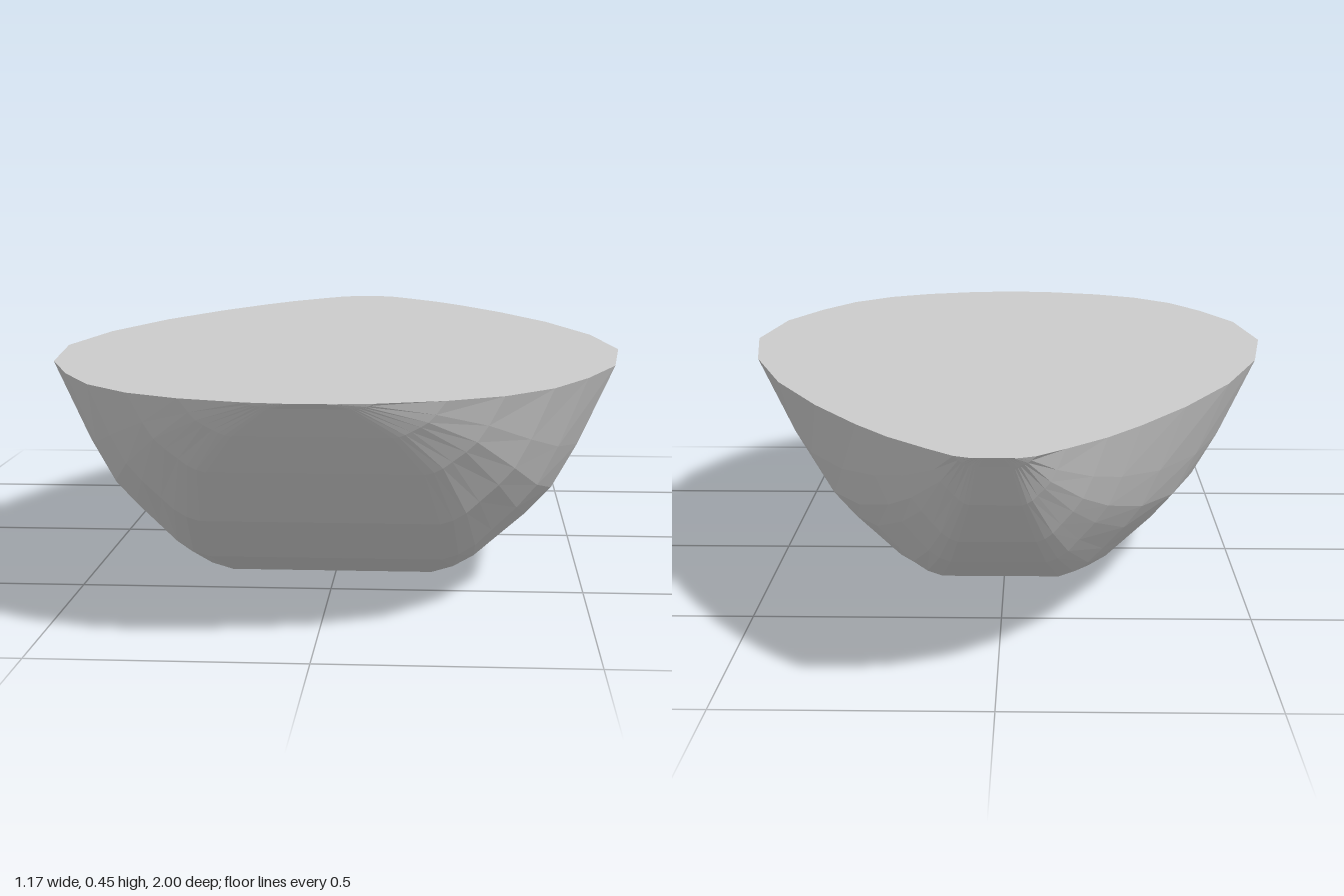
import * as THREE from 'three';

const TOP = 0.45;

// Stations from tail to front: z, half width at the top, keel height, flat share of the width
const STATIONS = [
  [-1, 0.04, 0.45, 0.4], [-0.985, 0.07, 0.43, 0.4], [-0.93, 0.12, 0.35, 0.38],
  [-0.84, 0.195, 0.258, 0.36], [-0.74, 0.26, 0.19, 0.34], [-0.57, 0.355, 0.11, 0.32],
  [-0.34, 0.46, 0.05, 0.3], [-0.07, 0.545, 0.009, 0.28], [0.2, 0.585, 0, 0.27],
  [0.47, 0.555, 0.03, 0.36], [0.65, 0.49, 0.1, 0.45], [0.79, 0.42, 0.2, 0.52],
  [0.89, 0.33, 0.31, 0.58], [0.95, 0.23, 0.385, 0.6], [0.99, 0.11, 0.44, 0.6],
  [1, 0.04, 0.45, 0.6],
];

// Side curve from the flat bottom's edge to the rim: share of width, share of height
const SIDE = [
  [0, 0], [0.12, 0.03], [0.235, 0.085], [0.35, 0.17],
  [0.52, 0.295], [0.66, 0.42], [0.8, 0.63], [1, 1],
];

function section([z, w, keel, flat]) {
  const half = SIDE.map(([s, h]) => [w * (flat + (1 - flat) * s), keel + (TOP - keel) * h]);
  const left = half.map(([x, y]) => [x, y, z]);
  const right = half.map(([x, y]) => [-x, y, z]).reverse();
  return [...right, ...left];
}

function meshFrom(name, points, index) {
  const geometry = new THREE.BufferGeometry();
  geometry.setAttribute('position', new THREE.Float32BufferAttribute(points.flat(), 3));
  geometry.setIndex(index);
  geometry.computeVertexNormals();
  const material = new THREE.MeshStandardMaterial({ color: 0xcccccc, flatShading: true });
  const mesh = new THREE.Mesh(geometry, material);
  mesh.name = name;
  return mesh;
}

// Skin joining neighbouring sections, each running from one rim to the other
function loft(name, sections) {
  const n = sections[0].length;
  const index = [];
  for (let i = 0; i < sections.length - 1; i++) {
    for (let j = 0; j < n - 1; j++) {
      const a = i * n + j;
      const c = a + n;
      index.push(a, a + 1, c, a + 1, c + 1, c);
    }
  }
  return meshFrom(name, sections.flat(), index);
}

export function createModel() {
  const group = new THREE.Group();
  group.name = 'teardropHull';

  // Rounded underside
  group.add(loft('hull', STATIONS.map(section)));

  // Flat closed top
  const rims = STATIONS.map(([z, w]) => [[w, TOP, z], [-w, TOP, z]]);
  group.add(loft('topFace', rims));

  return group;
}
